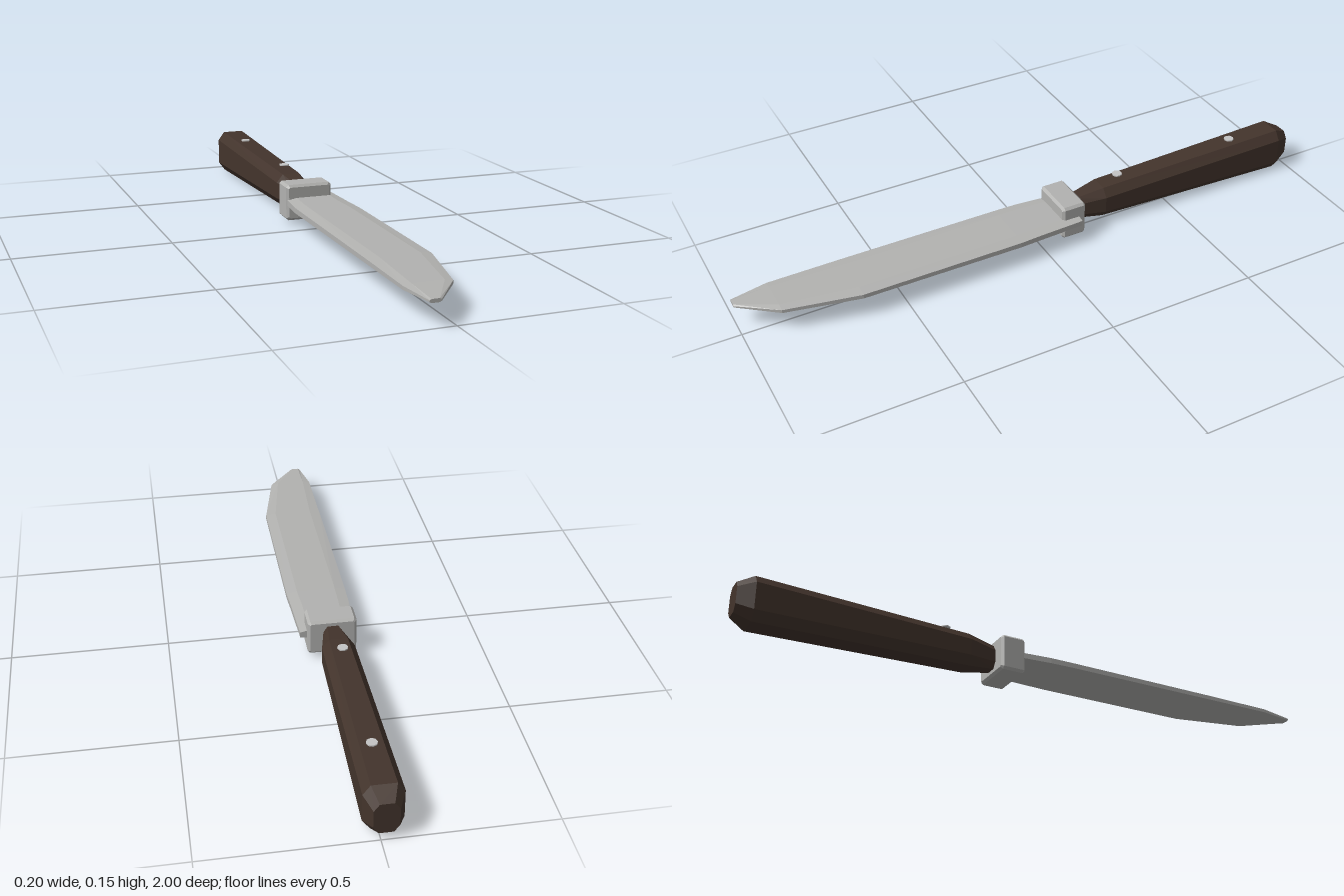
import * as THREE from 'three';

// Octagonal cross-section: box x0..x1, y0..y1 with corners cut by cx, cy
function octagon(z, x0, x1, y0, y1, cx, cy) {
  return [
    [x1, y0 + cy], [x1, y1 - cy], [x1 - cx, y1], [x0 + cx, y1],
    [x0, y1 - cy], [x0, y0 + cy], [x0 + cx, y0], [x1 - cx, y0],
  ].map(([x, y]) => new THREE.Vector3(x, y, z));
}

// Skin the sections from back to front and close both ends
function loft(sections) {
  const rings = sections.map((s) => octagon(...s));
  const points = [];
  const tri = (a, b, c) => points.push(a, b, c);
  for (let i = 0; i < rings.length - 1; i++) {
    for (let j = 0; j < 8; j++) {
      const k = (j + 1) % 8, p = rings[i], q = rings[i + 1];
      tri(p[j], p[k], q[k]);
      tri(p[j], q[k], q[j]);
    }
  }
  const back = rings[0], front = rings[rings.length - 1];
  for (let j = 1; j < 7; j++) {
    tri(front[0], front[j], front[j + 1]);
    tri(back[0], back[j + 1], back[j]);
  }
  const geometry = new THREE.BufferGeometry().setFromPoints(points);
  geometry.computeVertexNormals();
  return geometry;
}

function material(name, color) {
  const m = new THREE.MeshStandardMaterial({ color });
  m.name = name;
  return m;
}

export function createModel() {
  const group = new THREE.Group();
  const steel = material('steel', 0xb2b2b0);
  const wood = material('darkWood', 0x43342c);
  const rivetMetal = material('rivetMetal', 0xc4c4c4);

  const add = (name, geometry, mat) => {
    const mesh = new THREE.Mesh(geometry, mat);
    mesh.name = name;
    group.add(mesh);
    return mesh;
  };

  // Blade, thinning and narrowing towards the clipped tip
  add('blade', loft([
    [-0.13, -0.085, 0.086, 0.061, 0.091, 0.03, 0.006],
    [0.02, -0.099, 0.092, 0.061, 0.091, 0.035, 0.006],
    [0.1, -0.1, 0.097, 0.062, 0.091, 0.035, 0.006],
    [0.64, -0.1, 0.097, 0.065, 0.089, 0.035, 0.005],
    [0.88, -0.1, 0.046, 0.067, 0.086, 0.025, 0.004],
    [1.0, -0.08, -0.045, 0.07, 0.081, 0.006, 0.003],
  ]), steel);

  // Guard block with bevelled edges
  add('guard', loft([
    [-0.155, -0.085, 0.056, 0.023, 0.127, 0.004, 0.004],
    [-0.147, -0.093, 0.064, 0.015, 0.135, 0.008, 0.008],
    [-0.078, -0.093, 0.064, 0.015, 0.135, 0.008, 0.008],
    [-0.07, -0.085, 0.056, 0.023, 0.127, 0.004, 0.004],
  ]), steel);

  // Faceted handle, swelling towards the butt
  add('handle', loft([
    [-1.0, -0.051, 0.022, 0.025, 0.125, 0.016, 0.022],
    [-0.95, -0.074, 0.043, 0.0, 0.15, 0.022, 0.03],
    [-0.25, -0.068, 0.035, 0.02, 0.131, 0.022, 0.028],
    [-0.15, -0.045, 0.014, 0.035, 0.115, 0.013, 0.02],
  ]), wood);

  // Two small rivets along the top of the handle
  [-0.775, -0.32].forEach((z, i) => {
    const rivet = add('rivet' + (i + 1), new THREE.CylinderGeometry(0.017, 0.017, 0.004, 8), rivetMetal);
    rivet.position.set(-0.017, 0.148, z);
  });

  return group;
}
